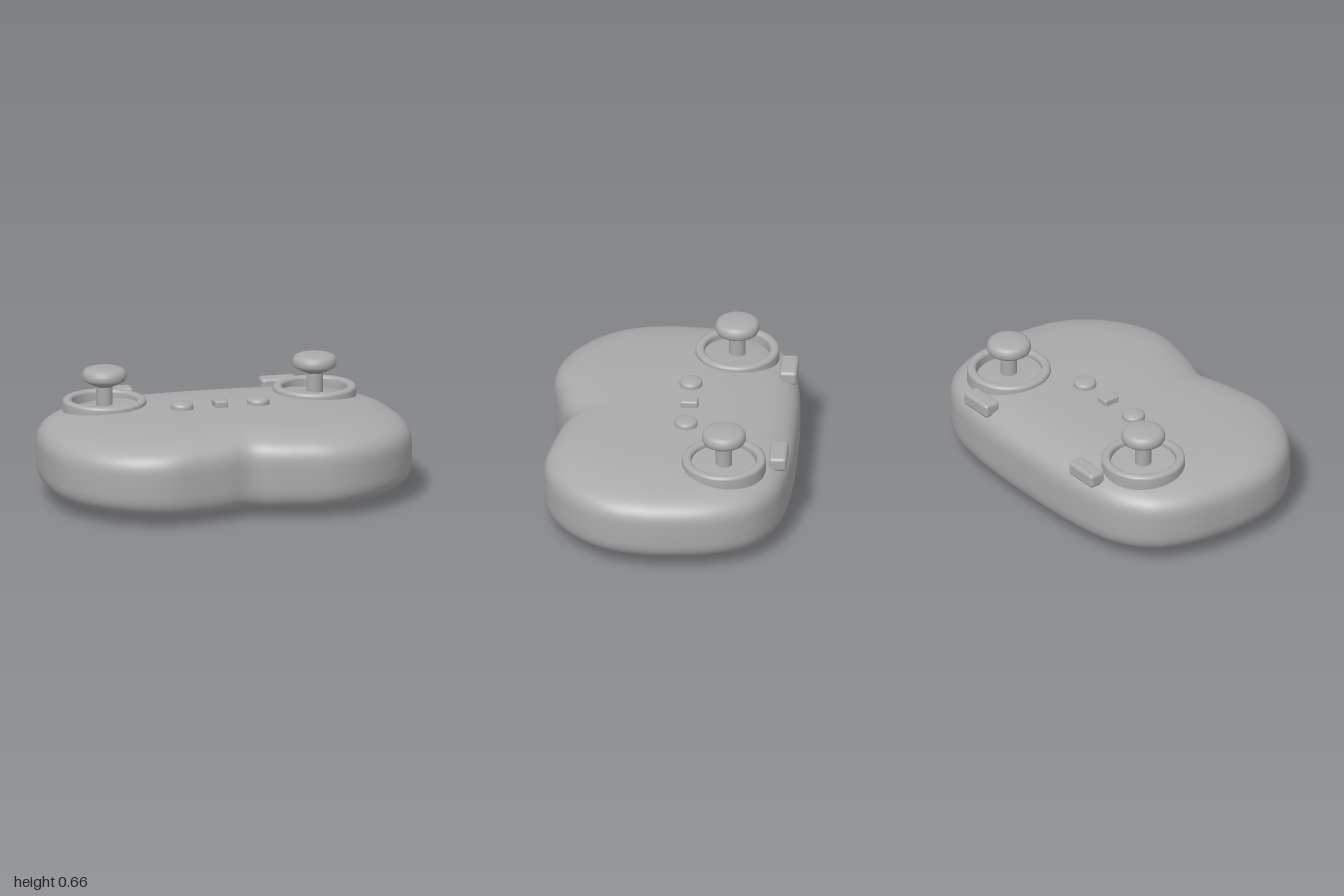
import * as THREE from 'three';
import { RoundedBoxGeometry } from 'three/addons/geometries/RoundedBoxGeometry.js';

const grey = new THREE.MeshStandardMaterial({ color: 0xaaaaaa });
grey.name = 'matte grey';

function add(parent, name, geometry, x = 0, y = 0, z = 0) {
  const mesh = new THREE.Mesh(geometry, grey);
  mesh.name = name;
  mesh.position.set(x, y, z);
  parent.add(mesh);
  return mesh;
}

function lathe(points, segments = 48) {
  return new THREE.LatheGeometry(points.map(([r, y]) => new THREE.Vector2(r, y)), segments);
}

// Two-lobed outline swept through a superellipse from underside to top
function bodyGeometry() {
  const half = [
    [0.25, -0.667], [0.5, -0.645], [0.7, -0.595], [0.87, -0.475], [0.96, -0.3], [0.995, -0.08],
    [0.995, 0.12], [0.95, 0.31], [0.83, 0.485], [0.65, 0.613], [0.46, 0.662], [0.26, 0.634],
    [0.12, 0.6], [0.05, 0.575],
  ];
  const outline = [[0, -0.67], ...half, [0, 0.567], ...half.map(([x, z]) => [-x, z]).reverse()];
  const curve = new THREE.CatmullRomCurve3(outline.map(([x, z]) => new THREE.Vector3(x, 0, z)), true);
  const around = 180, levels = 48, halfHeight = 0.2325;
  const ring = curve.getPoints(around).slice(0, around);
  const positions = [], index = [];
  for (let i = 0; i <= levels; i++) {
    const a = (i / levels - 0.5) * Math.PI;
    const s = Math.sqrt(Math.max(0, Math.cos(a)));
    const y = halfHeight * (1 + Math.sign(Math.sin(a)) * Math.sqrt(Math.abs(Math.sin(a))));
    for (const p of ring) positions.push(p.x * s, y, p.z * s);
  }
  for (let i = 0; i < levels; i++) {
    for (let j = 0; j < around; j++) {
      const k = (j + 1) % around;
      const a = i * around + j, b = i * around + k;
      index.push(a, a + around, b + around, a, b + around, b);
    }
  }
  const geometry = new THREE.BufferGeometry();
  geometry.setAttribute('position', new THREE.Float32BufferAttribute(positions, 3));
  geometry.setIndex(index);
  geometry.computeVertexNormals();
  return geometry;
}

export function createModel() {
  const model = new THREE.Group();
  model.name = 'gameController';
  add(model, 'body', bodyGeometry());

  const collar = lathe([
    [0.224, 0.39], [0.224, 0.43], [0.224, 0.472], [0.221, 0.482], [0.212, 0.488], [0.205, 0.489],
    [0.192, 0.489], [0.185, 0.488], [0.177, 0.482], [0.174, 0.472], [0.174, 0.43], [0.174, 0.39],
  ], 64);
  const shaft = new THREE.CylinderGeometry(0.044, 0.044, 0.17, 32);
  const cap = lathe([
    [0, 0.555], [0.043, 0.555], [0.05, 0.558], [0.075, 0.57], [0.102, 0.584], [0.112, 0.591],
    [0.117, 0.602], [0.118, 0.617], [0.115, 0.632], [0.107, 0.645], [0.09, 0.653], [0.06, 0.657],
    [0.03, 0.659], [0, 0.66],
  ]);
  const button = lathe([
    [0.061, 0.44], [0.061, 0.478], [0.058, 0.488], [0.05, 0.494], [0.03, 0.498], [0, 0.499],
  ], 40);
  const shoulder = new RoundedBoxGeometry(0.2, 0.08, 0.095, 4, 0.02);

  // Mirrored controls
  for (const [side, sx] of [['left', 1], ['right', -1]]) {
    const stick = new THREE.Group();
    stick.name = side + 'Stick';
    stick.position.set(sx * 0.58, 0, -0.31);
    add(stick, 'collar', collar);
    add(stick, 'shaft', shaft, 0, 0.485, 0);
    add(stick, 'cap', cap);
    model.add(stick);
    add(model, side + 'RoundButton', button, sx * 0.21, 0, -0.085);
    add(model, side + 'ShoulderButton', shoulder, sx * 0.453, 0.43, -0.595);
  }

  // Small key between the round buttons
  add(model, 'centreButton', new RoundedBoxGeometry(0.072, 0.07, 0.095, 4, 0.012), 0, 0.466, -0.09);
  return model;
}
